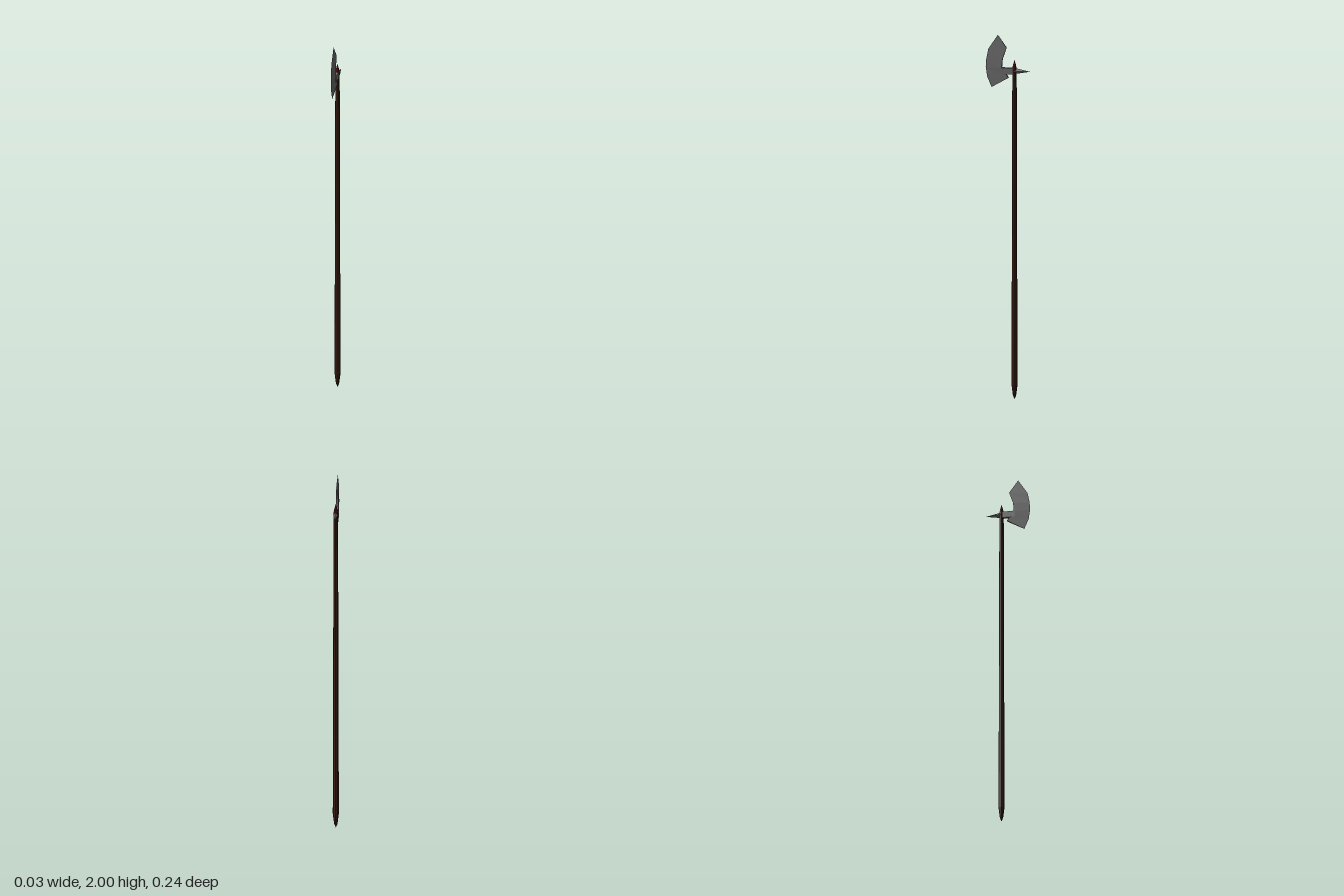
import * as THREE from 'three';

const SHAFT_Z = -0.035;

const material = (color) => new THREE.MeshStandardMaterial({ color, flatShading: true });

function addMesh(parent, name, geometry, mat) {
  const mesh = new THREE.Mesh(geometry, mat);
  mesh.name = name;
  parent.add(mesh);
  return mesh;
}

// Eight-sided turned part from [radius, height] pairs
const turned = (profile) =>
  new THREE.LatheGeometry(profile.map(([r, y]) => new THREE.Vector2(r, y)), 8);

// Wedge blade: each rib is [edge z, edge y, back z, back y, half thickness at the back]
function bladeGeometry(ribs) {
  const positions = [];
  const index = [];
  ribs.forEach(([ez, ey, bz, by, h], i) => {
    positions.push(0, ey, ez, h, by, bz, -h, by, bz);
    if (i === ribs.length - 1) return;
    for (let k = 0; k < 3; k++) {
      const a = i * 3 + k;
      const b = i * 3 + ((k + 1) % 3);
      if (i > 0) index.push(a, b + 3, b);
      if (i < ribs.length - 2) index.push(a, a + 3, b + 3);
      else index.push(a, a + 3, b);
      if (i === 0) index.splice(-3, 3, a, a + 3, b + 3);
    }
  });
  const geometry = new THREE.BufferGeometry();
  geometry.setAttribute('position', new THREE.Float32BufferAttribute(positions, 3));
  // The last rib is a point, so its section needs only one triangle per side
  const last = (ribs.length - 2) * 3;
  const cleaned = [];
  for (let t = 0; t < index.length; t += 3) {
    const tri = index.slice(t, t + 3);
    const collapsed = tri.filter((v) => v >= last + 3).length > 1;
    if (!collapsed) cleaned.push(...tri);
  }
  geometry.setIndex(cleaned);
  geometry.computeVertexNormals();
  return geometry;
}

export function createModel() {
  const group = new THREE.Group();
  group.name = 'poleaxe';
  const wood = material(0x3d2014);
  const red = material(0x5a1010);
  const metal = material(0x6c6c6c);

  // Tapering wooden shaft with a blunt foot
  const shaft = addMesh(group, 'shaft', turned([
    [0, 0], [0.009, 0.022], [0.0165, 0.08], [0.012, 1.815],
  ]), wood);
  shaft.position.z = SHAFT_Z;

  // Pointed red cap
  const cap = addMesh(group, 'cap', turned([[0.012, 1.815], [0.009, 1.835], [0, 1.867]]), red);
  cap.position.z = SHAFT_Z;

  // Crescent blade with a sharp front edge and pointed ends
  addMesh(group, 'blade', bladeGeometry([
    [0.056, 2.0, 0.056, 2.0, 0],
    [0.108, 1.92, 0.008, 1.931, 0.005],
    [0.119, 1.866, 0.03, 1.867, 0.007],
    [0.122, 1.82, 0.034, 1.82, 0.008],
    [0.114, 1.767, -0.003, 1.767, 0.008],
    [0.09, 1.711, 0.09, 1.711, 0],
  ]), metal);

  // Neck joining the blade to the shaft
  const neck = addMesh(group, 'neck', new THREE.BoxGeometry(0.017, 0.034, 0.073), metal);
  neck.position.set(0, 1.804, 0.0015);

  // Four-sided spike at the back
  const spikeShape = new THREE.ConeGeometry(1, 1, 4);
  spikeShape.rotateX(-Math.PI / 2);
  spikeShape.scale(0.014, 0.017, 0.087);
  const spike = addMesh(group, 'backSpike', spikeShape, metal);
  spike.position.set(0, 1.805, -0.0775);

  return group;
}
